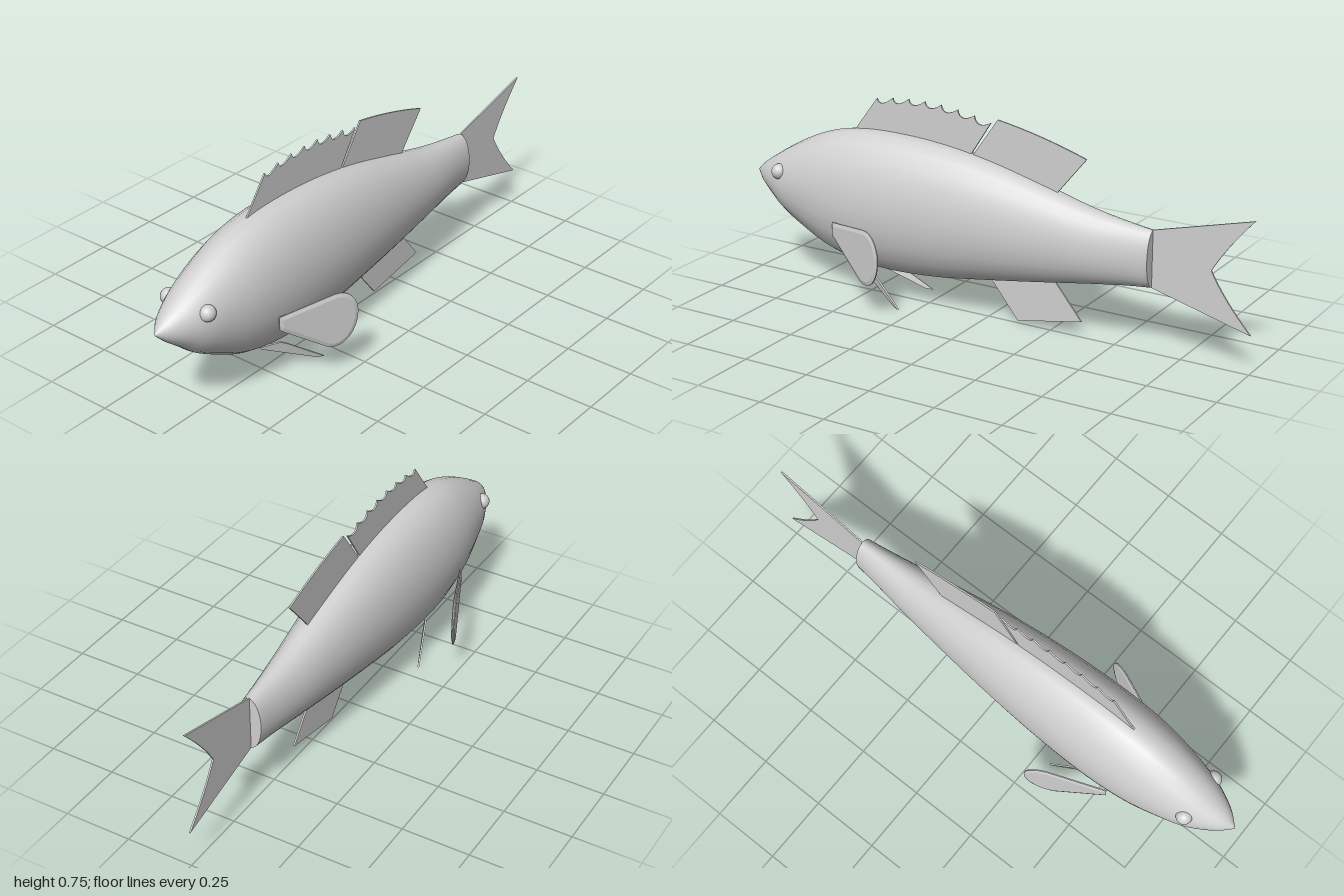
import * as THREE from 'three';

const grey = new THREE.MeshStandardMaterial({ color: 0xd0d0d0 });
grey.name = 'plain grey';

function mesh(geometry, name) {
  const m = new THREE.Mesh(geometry, grey);
  m.name = name;
  return m;
}

// Body: oval rings lofted along z. Each station: z, top y, bottom y, half width
const stations = [
  [0.995, 0.392, 0.382, 0.004], [0.955, 0.428, 0.342, 0.041], [0.9, 0.465, 0.297, 0.074],
  [0.845, 0.5, 0.25, 0.097], [0.76, 0.547, 0.2, 0.118], [0.65, 0.592, 0.147, 0.138],
  [0.53, 0.617, 0.117, 0.148], [0.4, 0.624, 0.107, 0.15], [0.2, 0.614, 0.117, 0.143],
  [0, 0.583, 0.145, 0.128], [-0.2, 0.534, 0.176, 0.106], [-0.4, 0.481, 0.209, 0.08],
  [-0.55, 0.455, 0.231, 0.057], [-0.637, 0.444, 0.24, 0.045],
];

function bodyGeometry(sides = 24, rows = 40) {
  const top = new THREE.CatmullRomCurve3(stations.map(s => new THREE.Vector3(s[0], s[1], 0)));
  const low = new THREE.CatmullRomCurve3(stations.map(s => new THREE.Vector3(s[0], s[2], s[3])));
  const pos = [], index = [];
  for (let i = 0; i <= rows; i++) {
    const a = top.getPoint(i / rows), b = low.getPoint(i / rows);
    const mid = (a.y + b.y) / 2, half = (a.y - b.y) / 2;
    for (let j = 0; j < sides; j++) {
      const t = (j / sides) * Math.PI * 2;
      pos.push(b.z * Math.sin(t), mid + half * Math.cos(t), b.x);
    }
  }
  for (let i = 0; i < rows; i++) {
    for (let j = 0; j < sides; j++) {
      const k = (j + 1) % sides, r = i * sides, n = r + sides;
      index.push(r + j, r + k, n + j, r + k, n + k, n + j);
    }
  }
  // Nose tip
  const tip = pos.length / 3;
  pos.push(0, 0.387, 0.998);
  for (let j = 0; j < sides; j++) index.push(tip, (j + 1) % sides, j);
  const g = new THREE.BufferGeometry();
  g.setAttribute('position', new THREE.Float32BufferAttribute(pos, 3));
  g.setIndex(index);
  g.computeVertexNormals();
  return g;
}

// Flat plate from a shape, centred on its own thickness
function plate(shape, thickness, bevel = 0) {
  const g = new THREE.ExtrudeGeometry(shape, {
    depth: thickness, curveSegments: 8, bevelEnabled: bevel > 0,
    bevelSize: bevel, bevelOffset: -bevel, bevelThickness: 0.004, bevelSegments: 1,
  });
  return g.translate(0, 0, -thickness / 2);
}

const polygon = pts => new THREE.Shape(pts.map(p => new THREE.Vector2(...p)));

// Upright fin drawn in (z, y)
const uprightFin = (shape, name) => mesh(plate(shape, 0.006).rotateY(-Math.PI / 2), name);

export function createModel() {
  const fish = new THREE.Group();
  fish.name = 'fish';

  fish.add(mesh(bodyGeometry(), 'body'));
  const cap = new THREE.CircleGeometry(1, 24).rotateY(Math.PI).scale(0.045, 0.102, 1);
  fish.add(mesh(cap.translate(0, 0.342, -0.637), 'bodyEnd'));

  // Spiny front dorsal fin: each spine drops steeply behind, then the edge rises to the next
  const spiny = new THREE.Shape();
  spiny.moveTo(0.575, 0.585);
  spiny.lineTo(0.46, 0.738);
  const spines = 7;
  const spineZ = i => 0.46 - (0.47 * i) / spines;
  const spineY = i => 0.738 + 0.085 * (i / spines) - 0.105 * (i / spines) ** 2;
  for (let i = 1; i <= spines; i++) {
    spiny.quadraticCurveTo(spineZ(i - 1) - 0.008, spineY(i - 0.5) - 0.042, spineZ(i), spineY(i));
  }
  spiny.lineTo(0.085, 0.57);
  fish.add(uprightFin(spiny, 'frontDorsalFin'));

  // Soft rear dorsal fin
  const soft = new THREE.Shape();
  soft.moveTo(0.085, 0.56);
  soft.lineTo(-0.037, 0.733);
  soft.quadraticCurveTo(-0.21, 0.705, -0.383, 0.647);
  soft.lineTo(-0.255, 0.49);
  fish.add(uprightFin(soft, 'rearDorsalFin'));

  fish.add(uprightFin(polygon([[0.005, 0.17], [-0.255, 0.205], [-0.373, 0.06], [-0.12, 0.013]]), 'analFin'));

  // Forked tail with a curved notch
  const tail = new THREE.Shape();
  tail.moveTo(-0.63, 0.443);
  tail.lineTo(-1, 0.54);
  tail.quadraticCurveTo(-0.9, 0.43, -0.852, 0.342);
  tail.quadraticCurveTo(-0.9, 0.25, -1, 0.143);
  tail.lineTo(-0.63, 0.241);
  fish.add(uprightFin(tail, 'tailFin'));

  for (const [side, s] of [['left', 1], ['right', -1]]) {
    // Eye
    const eye = mesh(new THREE.SphereGeometry(0.029, 20, 14), side + 'Eye');
    eye.position.set(s * 0.083, 0.425, 0.842);
    fish.add(eye);

    // Pectoral fin: rounded paddle swept out and back
    const paddle = new THREE.Shape();
    paddle.moveTo(0.013, 0.296);
    paddle.lineTo(-0.195, 0.325);
    paddle.bezierCurveTo(-0.25, 0.328, -0.282, 0.28, -0.281, 0.235);
    paddle.bezierCurveTo(-0.281, 0.16, -0.225, 0.1, -0.165, 0.127);
    paddle.lineTo(0.013, 0.246);
    const pectoral = mesh(plate(paddle, 0.004, 0.014).rotateY(-Math.PI / 2), side + 'PectoralFin');
    pectoral.rotation.y = -s * 0.398;
    pectoral.position.set(s * 0.148, 0, 0.555);
    fish.add(pectoral);

    // Pelvic fin: narrow blade pointing down, out and back
    const along = new THREE.Vector3(s * 0.336, -0.405, -0.85).normalize();
    const across = new THREE.Vector3(s * 0.3, 0.86, -0.29);
    across.addScaledVector(along, -across.dot(along)).normalize();
    const normal = new THREE.Vector3().crossVectors(along, across);
    const blade = plate(polygon([[-0.01, 0.004], [0, -0.002], [0.235, -0.008], [0.262, 0], [0.085, 0.034], [0.06, 0.036]]), 0.006);
    blade.applyMatrix4(new THREE.Matrix4().makeBasis(along, across, normal));
    fish.add(mesh(blade.translate(s * 0.028, 0.11, 0.53), side + 'PelvicFin'));
  }
  return fish;
}
